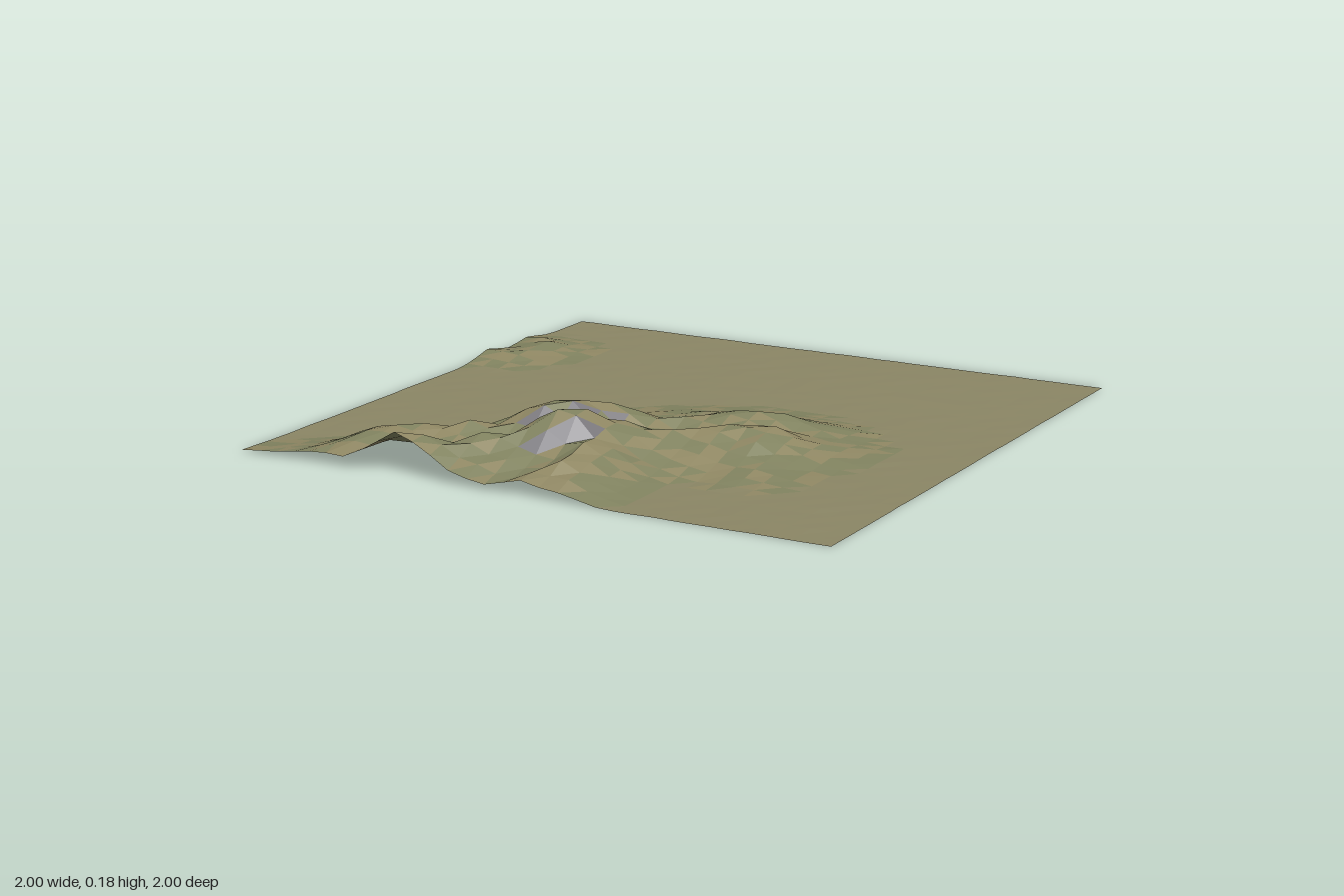
import * as THREE from 'three';

const SEGMENTS = 32;

// Ridge crests as [x, z, height], each with the reach of its slopes.
const RIDGES = [
  { reach: 0.27, crest: [[-0.8, 1, 0.025], [-0.67, 0.93, 0.06], [-0.58, 0.85, 0.115], [-0.45, 0.74, 0.095],
    [-0.31, 0.64, 0.1], [-0.17, 0.5, 0.18], [-0.06, 0.38, 0.125], [0.1, 0.26, 0.07], [0.25, 0.16, 0.105], [0.4, 0.06, 0.07]] },
  { reach: 0.27, crest: [[-0.44, 1, 0.145], [-0.31, 0.88, 0.1], [-0.17, 0.77, 0.125], [-0.03, 0.65, 0.2],
    [0.06, 0.53, 0.145], [0.15, 0.46, 0.1], [0.27, 0.38, 0.09], [0.4, 0.28, 0.11], [0.49, 0.18, 0.05]] },
  { reach: 0.24, crest: [[0.0, 1, 0.045], [0.07, 0.87, 0.085], [0.06, 0.72, 0.13]] },
  { reach: 0.22, crest: [[0.4, 0.3, 0.1], [0.48, 0.45, 0.035]] },
  { reach: 0.25, crest: [[-0.17, 0.5, 0.13], [-0.2, 0.28, 0.04], [0.08, 0.03, 0.035], [0.3, 0.0, 0.04]] },
  { reach: 0.17, crest: [[-1, -0.38, 0.034], [-0.9, -0.4, 0.03], [-0.87, -0.57, 0.033], [-0.96, -0.62, 0.025]] },
];

// Repeatable value in 0..1 for a pair of whole numbers.
function hash(i, j) {
  const s = Math.sin(i * 127.1 + j * 311.7) * 43758.5453;
  return s - Math.floor(s);
}

// Height of one ridge: falls away from the nearest point on its crest.
function ridgeHeight({ crest, reach }, x, z) {
  let best = 0;
  for (let k = 0; k < crest.length - 1; k++) {
    const [ax, az, ah] = crest[k];
    const [bx, bz, bh] = crest[k + 1];
    const dx = bx - ax, dz = bz - az;
    const t = THREE.MathUtils.clamp(((x - ax) * dx + (z - az) * dz) / (dx * dx + dz * dz), 0, 1);
    const d = Math.hypot(x - ax - t * dx, z - az - t * dz) / reach;
    if (d < 1) best = Math.max(best, (ah + (bh - ah) * t) * Math.pow(1 - d, 1.3));
  }
  return best;
}

function gridPoint(i, j) {
  const x = -1 + (2 * i) / SEGMENTS;
  const z = -1 + (2 * j) / SEGMENTS;
  const hill = Math.max(...RIDGES.map((r) => ridgeHeight(r, x, z)));
  const rough = hill * 0.22 * (hash(i, j) - 0.5);
  const ground = 0.0025 * Math.max(0, hash(i + 50, j + 9) - 0.5);
  return new THREE.Vector3(x, Math.max(0, hill + rough) + ground, z);
}

export function createModel() {
  const group = new THREE.Group();
  group.name = 'terrain';

  // Facets are sorted by steepness into ground covers
  const covers = {
    plainGround: { color: 0x8b8665, positions: [] },
    greenSlope: { color: 0x80825f, positions: [] },
    drySlope: { color: 0x8f8763, positions: [] },
    rockFace: { color: 0x78767b, positions: [] },
  };
  const triangle = new THREE.Triangle();
  const normal = new THREE.Vector3();

  function addFacet(a, b, c, tint) {
    triangle.set(a, b, c).getNormal(normal);
    let cover = 'plainGround';
    if (normal.y < 0.76) cover = 'rockFace';
    else if (normal.y < 0.998) cover = tint < 0.55 ? 'greenSlope' : 'drySlope';
    for (const p of [a, b, c]) covers[cover].positions.push(p.x, p.y, p.z);
  }

  for (let j = 0; j < SEGMENTS; j++) {
    for (let i = 0; i < SEGMENTS; i++) {
      const a = gridPoint(i, j), b = gridPoint(i, j + 1);
      const c = gridPoint(i + 1, j + 1), d = gridPoint(i + 1, j);
      addFacet(a, b, d, hash(i, j + 70));
      addFacet(b, c, d, hash(i + 70, j));
    }
  }

  for (const [name, { color, positions }] of Object.entries(covers)) {
    if (!positions.length) continue;
    const geometry = new THREE.BufferGeometry();
    geometry.setAttribute('position', new THREE.Float32BufferAttribute(positions, 3));
    geometry.computeVertexNormals();
    const material = new THREE.MeshStandardMaterial({ color, flatShading: true, side: THREE.DoubleSide });
    const mesh = new THREE.Mesh(geometry, material);
    mesh.name = name;
    group.add(mesh);
  }
  return group;
}
